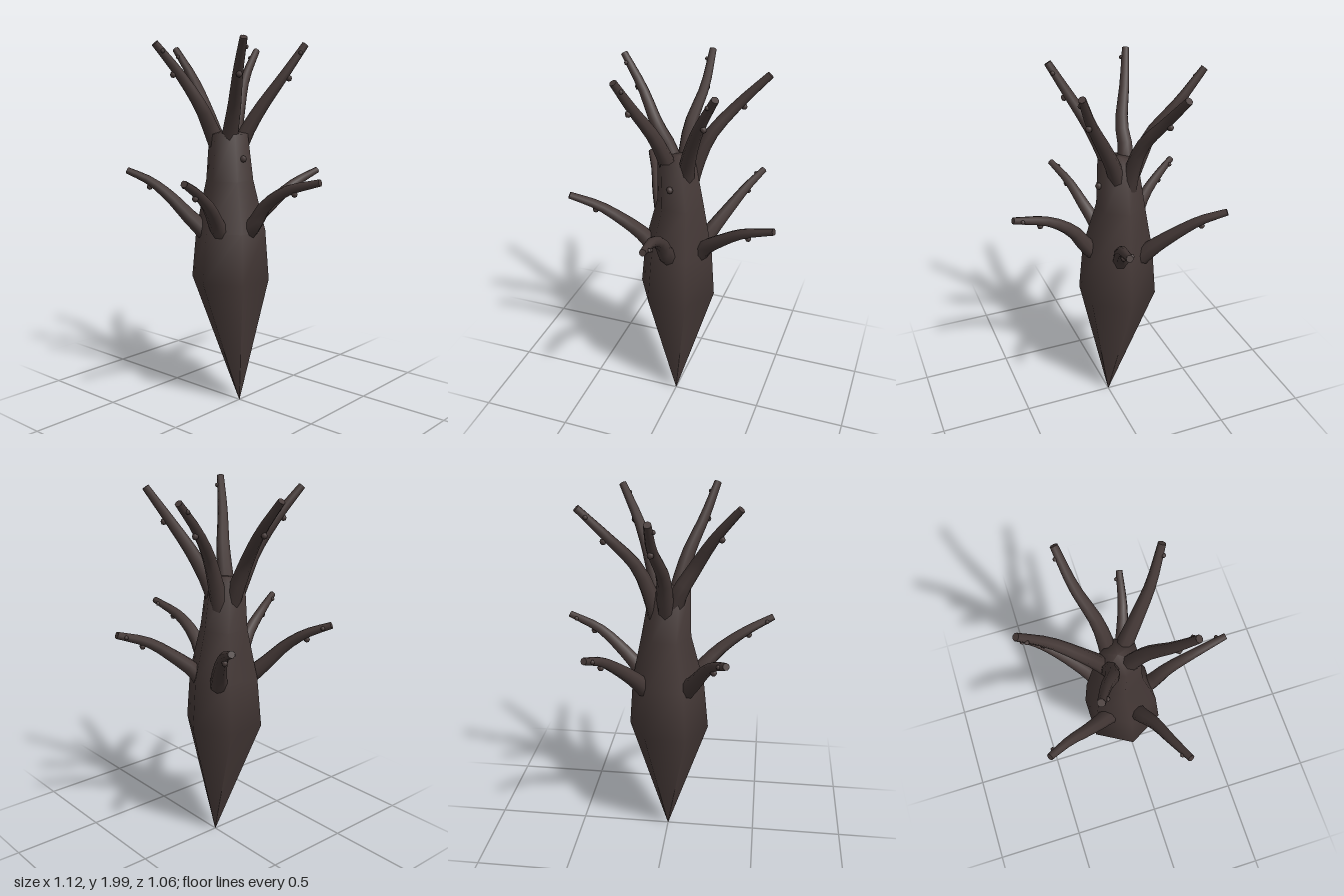
import * as THREE from 'three';

const bark = new THREE.MeshStandardMaterial({ color: 0x453937, roughness: 0.9, side: THREE.DoubleSide });

// Six-sided trunk lofted through rings: [x, y, z, radius]
function makeTrunk() {
  const rings = [
    [0, 0.01, 0, 0.001],
    [-0.012, 0.71, -0.057, 0.215],
    [-0.008, 0.98, -0.057, 0.192],
    [0, 1.25, -0.07, 0.13],
    [-0.02, 1.5, -0.06, 0.105],
    [-0.01, 1.52, -0.07, 0.001],
  ];
  const sides = 6, pos = [], index = [];
  for (const [x, y, z, r] of rings)
    for (let k = 0; k < sides; k++) {
      const a = (k / sides) * Math.PI * 2;
      pos.push(x + r * Math.cos(a), y, z + r * Math.sin(a));
    }
  for (let i = 0; i < rings.length - 1; i++)
    for (let k = 0; k < sides; k++) {
      const a = i * sides + k, b = i * sides + (k + 1) % sides;
      index.push(a, a + sides, b, b, a + sides, b + sides);
    }
  const geo = new THREE.BufferGeometry();
  geo.setAttribute('position', new THREE.Float32BufferAttribute(pos, 3));
  geo.setIndex(index);
  geo.computeVertexNormals();
  const mesh = new THREE.Mesh(geo, bark);
  mesh.name = 'trunk';
  return mesh;
}

const knobGeo = new THREE.SphereGeometry(1, 6, 4);
function makeKnob(position, size) {
  const knob = new THREE.Mesh(knobGeo, bark);
  knob.name = 'knob';
  knob.position.copy(position);
  knob.scale.setScalar(size);
  return knob;
}

// Tapered tube along a curve, with a flat cut tip and two knobs
function makeBranch(name, points, baseR, tipR, tipSide) {
  const group = new THREE.Group();
  group.name = name;
  const curve = new THREE.CatmullRomCurve3(points.map(p => new THREE.Vector3(...p)));
  const segs = 9, sides = 8;
  const radiusAt = u => THREE.MathUtils.lerp(baseR, tipR, Math.pow(u, 0.8));

  const geo = new THREE.TubeGeometry(curve, segs, 1, sides);
  const p = geo.attributes.position, v = new THREE.Vector3();
  for (let i = 0; i <= segs; i++) {
    const c = curve.getPointAt(i / segs), r = radiusAt(i / segs);
    for (let j = 0; j <= sides; j++) {
      const n = i * (sides + 1) + j;
      v.fromBufferAttribute(p, n).sub(c).multiplyScalar(r).add(c);
      p.setXYZ(n, v.x, v.y, v.z);
    }
  }
  const limb = new THREE.Mesh(geo, bark);
  limb.name = 'limb';

  const cap = new THREE.Mesh(new THREE.CircleGeometry(tipR, sides), bark);
  cap.name = 'cutTip';
  cap.position.copy(curve.getPointAt(1));
  cap.quaternion.setFromUnitVectors(new THREE.Vector3(0, 0, 1), curve.getTangentAt(1));
  group.add(limb, cap);

  // One knob hangs under the limb, the other sits beside the tip
  const tangent = curve.getTangentAt(0.72);
  const down = new THREE.Vector3(0, -1, 0).addScaledVector(tangent, tangent.y).normalize();
  group.add(makeKnob(curve.getPointAt(0.72).addScaledVector(down, radiusAt(0.72) + 0.004), 0.017));
  const side = curve.getTangentAt(0.92).cross(new THREE.Vector3(0, 1, 0)).normalize();
  group.add(makeKnob(curve.getPointAt(0.92).addScaledVector(side, tipSide * radiusAt(0.92)), 0.012));
  return group;
}

export function createModel() {
  const model = new THREE.Group();
  model.name = 'bareTree';
  model.add(makeTrunk());
  model.add(makeKnob(new THREE.Vector3(-0.02, 1.37, 0.045), 0.019));

  // Lower whorl: arching outwards; last value is the side of the tip knob
  const lower = [
    ['lowerRightBranch', [[-0.12, 0.96, -0.02], [-0.19, 1.05, 0], [-0.28, 1.14, 0.04], [-0.41, 1.23, 0.08], [-0.55, 1.295, 0.135]], 1],
    ['lowerLeftBranch', [[0.11, 0.96, -0.03], [0.16, 1.03, -0.01], [0.25, 1.11, 0.03], [0.38, 1.205, 0.075], [0.55, 1.27, 0.11]], -1],
    ['lowerFrontBranch', [[-0.015, 0.97, 0.06], [-0.015, 1.03, 0.12], [-0.015, 1.13, 0.19], [-0.01, 1.22, 0.32], [0.015, 1.28, 0.52]], -1],
    ['lowerBackRightBranch', [[-0.11, 0.97, -0.15], [-0.16, 1.05, -0.22], [-0.22, 1.16, -0.31], [-0.27, 1.24, -0.41], [-0.335, 1.295, -0.52]], 1],
    ['lowerBackLeftBranch', [[0.1, 0.97, -0.15], [0.15, 1.05, -0.21], [0.22, 1.15, -0.305], [0.28, 1.23, -0.4], [0.34, 1.285, -0.52]], -1],
  ];
  // Crown: rising steeply from the trunk top
  const upper = [
    ['crownRightBranch', [[-0.04, 1.42, -0.11], [-0.08, 1.52, -0.13], [-0.15, 1.64, -0.135], [-0.25, 1.81, -0.19], [-0.37, 1.965, -0.245]], -1],
    ['crownFrontRightBranch', [[-0.04, 1.4, -0.05], [-0.06, 1.51, -0.01], [-0.1, 1.66, 0.055], [-0.17, 1.82, 0.14], [-0.23, 1.985, 0.23]], -1],
    ['crownFrontLeftBranch', [[0.03, 1.38, -0.05], [0.055, 1.49, -0.01], [0.1, 1.63, 0.06], [0.17, 1.79, 0.15], [0.265, 1.965, 0.23]], 1],
    ['crownLeftBranch', [[0.04, 1.34, -0.09], [0.075, 1.47, -0.1], [0.14, 1.63, -0.125], [0.265, 1.79, -0.19], [0.41, 1.945, -0.23]], -1],
    ['crownBackBranch', [[-0.005, 1.36, -0.11], [-0.005, 1.47, -0.16], [-0.005, 1.62, -0.235], [0.03, 1.79, -0.37], [0.03, 1.95, -0.505]], -1],
  ];
  for (const [name, pts, side] of lower) model.add(makeBranch(name, pts, 0.05, 0.018, side));
  for (const [name, pts, side] of upper) model.add(makeBranch(name, pts, 0.05, 0.019, side));
  return model;
}
